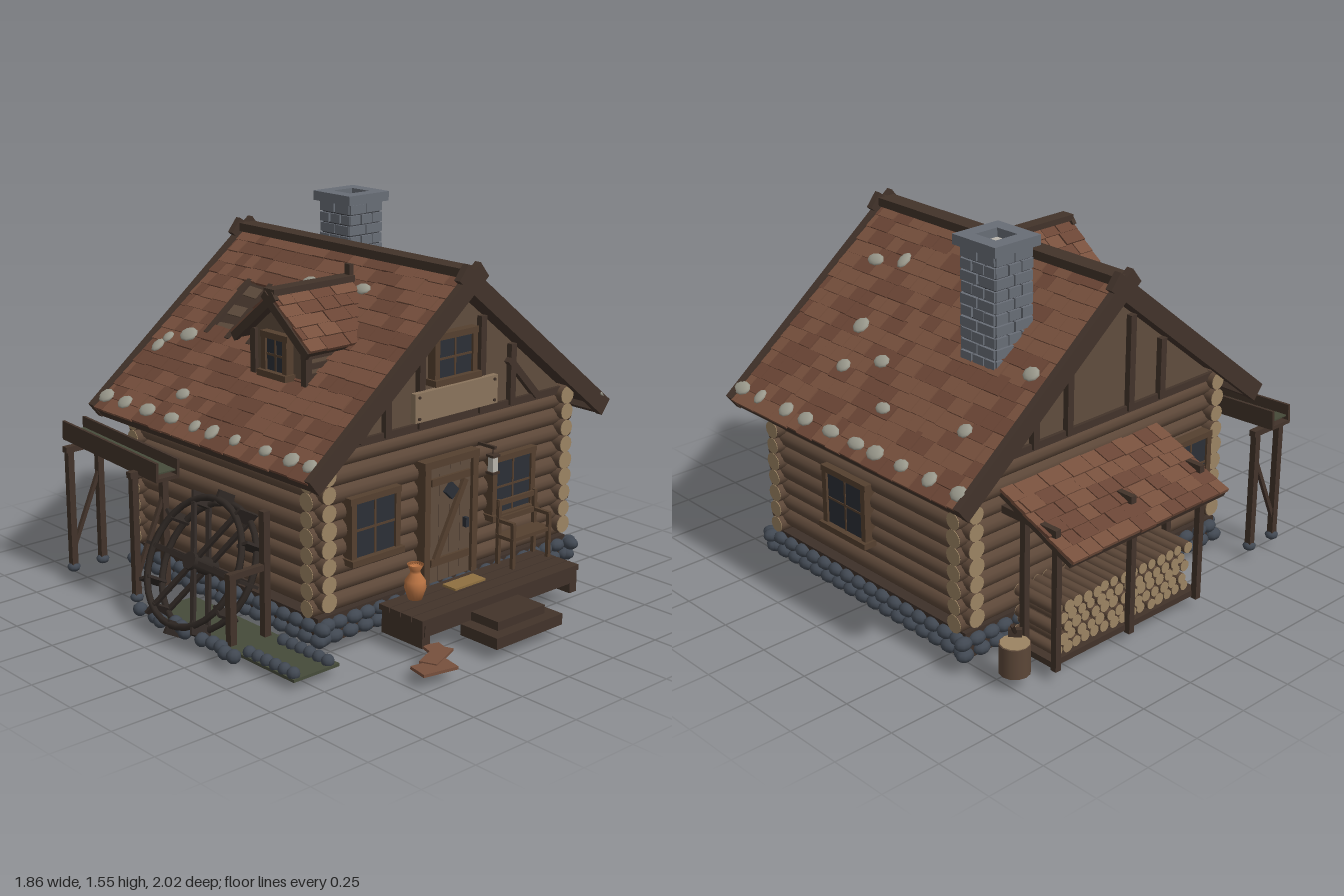
import * as THREE from 'three';
import { mergeGeometries } from 'three/addons/utils/BufferGeometryUtils.js';

const C = { log: 0x5c4738, end: 0x9c8463, dark: 0x42332a, trim: 0x55402f, gable: 0x5f4c3d, pane: 0x2b2f36,
  stone: 0x414852, brick: 0x686d76, mortar: 0x3a3d42, tileA: 0x77503d, tileB: 0x6a4535, lichen: 0x9c9b8e,
  clay: 0xb87242, water: 0x464b3a, gold: 0x8f7040, sign: 0x8a745c, pale: 0xb8b4ac };

let seed = 7;
const rnd = (a = 0, b = 1) => {
  seed = (seed * 16807) % 2147483647;
  return a + (b - a) * seed / 2147483647;
};
const V = (x, y, z) => new THREE.Vector3(x, y, z);

function put(g, x, y, z, rx = 0, ry = 0, rz = 0) {
  const q = new THREE.Quaternion().setFromEuler(new THREE.Euler(rx, ry, rz));
  return g.applyMatrix4(new THREE.Matrix4().compose(V(x, y, z), q, V(1, 1, 1)));
}
const box = (w, h, d, x, y, z, rx, ry, rz) => put(new THREE.BoxGeometry(w, h, d), x, y, z, rx, ry, rz);
const cyl = (r, h, x, y, z, rx, ry, rz, n = 12) => put(new THREE.CylinderGeometry(r, r, h, n), x, y, z, rx, ry, rz);
const blob = (a, b, c, x, y, z, ry = 0) => put(new THREE.SphereGeometry(1, 9, 6).scale(a, b, c), x, y, z, 0, ry);
// Square bar between two points
function bar(p, q, w, d = w) {
  const dir = V(...q).sub(V(...p)), g = new THREE.BoxGeometry(w, dir.length(), d);
  g.applyQuaternion(new THREE.Quaternion().setFromUnitVectors(V(0, 1, 0), dir.clone().normalize()));
  return g.translate((p[0] + q[0]) / 2, (p[1] + q[1]) / 2, (p[2] + q[2]) / 2);
}

function add(parent, name, color, geos) {
  const g = mergeGeometries(geos.map(g => (g.index ? g.toNonIndexed() : g)));
  const m = new THREE.Mesh(g, new THREE.MeshStandardMaterial({ color }));
  m.name = name;
  parent.add(m);
}

// Logs with pale sawn ends, along x or z
function logs(parent, name, list) {
  const bark = [], ends = [];
  for (const [axis, len, r, x, y, z] of list) {
    const rot = axis === 'x' ? [0, 0, Math.PI / 2] : [Math.PI / 2, 0, 0];
    bark.push(cyl(r, len, x, y, z, ...rot));
    ends.push(cyl(r * 0.97, len + 0.006, x, y, z, ...rot));
  }
  add(parent, name, C.log, bark);
  add(parent, name + 'Ends', C.end, ends);
}

// Sloping panel of shingles: u runs down from the ridge, n is the outward normal
function roofPanel(parent, name, L, W, rows, pose, skip = () => false) {
  const place = g => put(g.rotateZ(-pose.a), pose.x, pose.y, pose.z, 0, pose.ry);
  const sets = [[], []], pitch = L / rows;
  for (let i = 0; i < rows; i++) {
    for (let z = -W / 2; z < W / 2 - 0.01;) {
      const w = Math.min(rnd(0.055, 0.12), W / 2 - z), u = (i + 0.5) * pitch, zc = z + w / 2;
      if (!skip(u, zc)) sets[rnd() < 0.6 ? 0 : 1].push(place(
        box(pitch * 1.2 + rnd(-0.006, 0.006), 0.013, w - 0.004, u, rnd(-0.002, 0.003), zc, 0, 0, 0.07)));
      z += w;
    }
  }
  add(parent, name + 'Shingles', C.tileA, sets[0]);
  add(parent, name + 'ShinglesDark', C.tileB, sets[1]);
  add(parent, name + 'Deck', C.dark, [place(box(L, 0.02, W - 0.01, L / 2, -0.02, 0))]);
  return place;
}

// Framed window facing +z
function windowUnit(parent, name, w, h, x, y, z, ry = 0) {
  const g = new THREE.Group(), t = 0.025;
  g.name = name;
  add(g, 'pane', C.pane, [box(w - t, h - t, 0.03, 0, 0, 0)]);
  const f = [box(w + 0.02, t, 0.06, 0, -h / 2, 0.01), box(w + 0.01, t, 0.05, 0, h / 2, 0), box(0.009, h, 0.036, 0, 0, 0), box(w, 0.009, 0.036, 0, 0, 0)];
  for (const s of [-1, 1]) f.push(box(t, h, 0.05, s * (w - t) / 2, 0, 0));
  add(g, 'frame', C.trim, f);
  g.position.set(x, y, z);
  g.rotation.y = ry;
  parent.add(g);
}

export function createModel() {
  const M = new THREE.Group();
  M.name = 'logCabin';
  const X = 0.108, Z = -0.056;

  // Stone foundation
  add(M, 'foundation', 0x3d3029, [box(1.38, 0.11, 1.16, X, 0.1, Z)]);
  const st = [];
  for (const y of [0.072, 0.122]) {
    for (let x = -0.57; x < 0.82; x += 0.072) for (const z of [Z - 0.585, Z + 0.585])
      st.push(blob(0.038, 0.027, 0.03, x + rnd(-0.01, 0.01) + (y > 0.1 ? 0.02 : 0), y, z));
    for (let z = -0.62; z < 0.54; z += 0.072) for (const x of [X - 0.695, X + 0.695])
      st.push(blob(0.03, 0.027, 0.038, x, y, z + (y > 0.1 ? 0.02 : 0)));
  }
  add(M, 'foundationStones', C.stone, st);

  // Interlocked log walls
  const wall = [];
  for (let i = 0; i < 9; i++) for (const s of [-1, 1]) {
    wall.push(['x', 1.42, rnd(0.034, 0.039), X, 0.19 + i * 0.07, Z + s * 0.541]);
    wall.push(['z', 1.2, rnd(0.034, 0.039), X + s * 0.652, 0.215 + i * 0.07, Z]);
  }
  logs(M, 'wallLogs', wall);

  // Gables with timber framing
  const tri = new THREE.Shape([new THREE.Vector2(-0.68, 0.78), new THREE.Vector2(0.68, 0.78), new THREE.Vector2(0, 1.32)]);
  const timber = [];
  for (const s of [-1, 1]) {
    const z = Z + s * 0.541, zt = z + s * 0.03;
    add(M, s > 0 ? 'frontGable' : 'backGable', C.gable,
      [put(new THREE.ExtrudeGeometry(tri, { depth: 0.04, bevelEnabled: false }), X, 0, z - 0.02)]);
    timber.push(box(1.3, 0.03, 0.05, X, 0.795, z + s * 0.01));
    for (const k of [-1, 1]) {
      timber.push(bar([X + k * 0.34, 0.79, zt], [X + k * 0.34, 1.04, zt], 0.03));
      timber.push(bar([X + k * 0.165, 0.79, zt], [X + k * 0.165, 1.18, zt], 0.03));
      if (s > 0) timber.push(bar([X + k * 0.49, 0.8, zt], [X + k * 0.32, 0.98, zt], 0.03));
    }
  }
  add(M, 'gableTimbers', C.dark, timber);

  // Main roof, with a broken patch on the left slope
  const a = 0.673, RZ = -0.06, dark = [], lichen = [];
  for (const s of [1, -1]) {
    const hole = (u, z) => s < 0 && u > 0.27 && u < 0.54 && z > 0.09 && z < 0.42;
    const place = roofPanel(M, s > 0 ? 'rightRoof' : 'leftRoof', 1.03, 1.34, 16,
      { a, ry: s > 0 ? 0 : Math.PI, x: X, y: 1.375, z: RZ }, hole);
    for (const z of [-0.675, 0.675]) dark.push(place(box(1.09, 0.075, 0.03, 0.49, -0.02, z)));
    dark.push(place(box(0.025, 0.05, 1.34, 1.02, -0.03, 0)));
    const spots = s > 0 ? [[0.47, -0.64], [0.7, -0.54], [0.74, -0.13], [0.67, 0.19], [0.53, 0.25], [0.28, 0.28], [0.31, 0.42], [0.61, 0.03]]
      : [[-0.38, -0.63], [-0.35, -0.53], [-0.56, -0.3], [-0.05, -0.12], [-0.03, 0.17], [-0.42, -0.65]];
    for (let z = -0.68; z < 0.6; z += 0.14) spots.push([s > 0 ? 0.87 : -0.65, z + rnd(-0.03, 0.03)]);
    for (const [x, z] of spots)
      lichen.push(place(blob(rnd(0.025, 0.04), 0.012, rnd(0.025, 0.05), Math.abs(x - X) / Math.cos(a), 0.01, s * (z - RZ))));
    if (s < 0) {
      for (const z of [0.12, 0.255, 0.39]) dark.push(place(box(0.3, 0.02, 0.025, 0.405, 0.002, z)));
      add(M, 'brokenRoofBattens', C.gable, [0.31, 0.41, 0.5].map((u, i) => place(box(0.05, 0.008, 0.27, u, -0.007, 0.255, 0, 0.06 * (i - 1)))));
    }
  }
  dark.push(box(0.08, 0.035, 1.36, X, 1.385, RZ));
  add(M, 'bargeboards', C.dark, dark);
  add(M, 'roofLichen', C.lichen, lichen);

  // Dormer facing left
  const D = new THREE.Group();
  D.name = 'dormer';
  M.add(D);
  const dz = 0.105, pent = new THREE.Shape([[-0.155, 0.9], [0.155, 0.9], [0.155, 1.15], [0, 1.28], [-0.155, 1.15]].map(p => new THREE.Vector2(...p)));
  add(D, 'dormerBody', C.gable, [put(new THREE.ExtrudeGeometry(pent, { depth: 0.4, bevelEnabled: false }), -0.4, 0, dz, 0, Math.PI / 2)]);
  const dd = [box(0.41, 0.025, 0.06, -0.25, 1.31, dz), box(0.02, 0.14, 0.03, -0.05, 1.295, dz)];
  for (const s of [-1, 1]) {
    const place = roofPanel(D, 'dormerRoof', 0.29, 0.41, 5, { a: 0.675, ry: -s * Math.PI / 2, x: -0.25, y: 1.3, z: dz });
    dd.push(place(box(0.32, 0.035, 0.02, 0.135, -0.02, s * 0.2)));
    for (let y = 0.96; y < 1.15; y += 0.04) dd.push(box(0.36, 0.022, 0.012, -0.22, y, dz + s * 0.158));
    dd.push(box(0.03, 0.24, 0.03, -0.4, 1.02, dz + s * 0.15));
  }
  add(D, 'dormerTimbers', C.dark, dd);
  windowUnit(D, 'dormerWindow', 0.15, 0.15, -0.41, 1.06, dz, -Math.PI / 2);

  // Brick chimney
  const cx = 0.411, cz = -0.39, bricks = [];
  for (let i = 0; i < 11; i++) for (let k = 0; k < 4; k++) {
    const ang = k * Math.PI / 2, cuts = i % 2 ? [-0.093, -0.03, 0.035, 0.093] : [-0.093, 0, 0.093];
    for (let j = 0; j + 1 < cuts.length; j++) {
      const g = box(cuts[j + 1] - cuts[j] - 0.007, 0.038, 0.02, (cuts[j] + cuts[j + 1]) / 2, 1.035 + i * 0.0445, 0.083 + rnd(0, 0.006));
      bricks.push(put(g, cx, 0, cz, 0, ang));
    }
  }
  for (let k = 0; k < 4; k++) bricks.push(put(box(0.225, 0.04, 0.06, 0, 1.523, 0.083), cx, 0, cz, 0, k * Math.PI / 2));
  add(M, 'chimneyBricks', C.brick, bricks);
  add(M, 'chimneyCore', C.mortar, [box(0.17, 0.5, 0.17, cx, 1.25, cz)]);
  add(M, 'chimneyFlue', C.pale, [box(0.11, 0.01, 0.11, cx, 1.503, cz)]);

  // Windows
  for (const x of [-0.31, 0.447]) windowUnit(M, 'frontWindow', 0.25, 0.24, x, 0.465, 0.525);
  windowUnit(M, 'gableWindow', 0.23, 0.175, X, 1.05, 0.52);
  windowUnit(M, 'rightWindow', 0.26, 0.24, 0.8, 0.44, 0.03, Math.PI / 2);
  windowUnit(M, 'backWindow', 0.23, 0.24, -0.4, 0.44, -0.638, Math.PI);

  // Door and blank sign board
  const door = [0, 1, 2, 3].map(i => box(0.056, 0.47, 0.03, -0.005 + i * 0.058, 0.39, 0.53));
  add(M, 'doorPlanks', C.gable, door);
  add(M, 'doorFrame', C.trim, [box(0.03, 0.5, 0.06, -0.05, 0.405, 0.53), box(0.03, 0.5, 0.06, 0.212, 0.405, 0.53), box(0.3, 0.03, 0.065, 0.08, 0.645, 0.53),
    box(0.21, 0.03, 0.02, 0.08, 0.57, 0.547), box(0.21, 0.03, 0.02, 0.08, 0.24, 0.547), bar([0, 0.25, 0.548], [0.16, 0.55, 0.548], 0.025)]);
  add(M, 'doorFittings', C.pane, [box(0.05, 0.05, 0.02, 0.08, 0.52, 0.555, 0, 0, Math.PI / 4), box(0.015, 0.04, 0.02, 0.165, 0.37, 0.555)]);
  add(M, 'signBoard', C.sign, [box(0.45, 0.115, 0.025, X, 0.883, 0.54)]);
  add(M, 'signBolts', C.dark, [-1, 1].flatMap(i => [-1, 1].map(j => cyl(0.006, 0.01, X + i * 0.205, 0.883 + j * 0.042, 0.554, Math.PI / 2))));

  // Porch and steps
  const porch = [0, 1, 2, 3].map(i => box(0.88, 0.022, 0.056, 0.135, 0.143, 0.587 + i * 0.06));
  porch.push(box(0.85, 0.05, 0.03, 0.135, 0.11, 0.78), box(0.26, 0.035, 0.14, 0.08, 0.107, 0.87), box(0.365, 0.045, 0.19, 0.08, 0.065, 0.89));
  for (const x of [-0.28, 0.55]) porch.push(box(0.04, 0.1, 0.22, x, 0.09, 0.68));
  add(M, 'porch', C.dark, porch);
  add(M, 'doorMat', C.gold, [box(0.17, 0.01, 0.07, 0.085, 0.158, 0.63)]);
  const pot = [[0, 0], [0.028, 0], [0.043, 0.045], [0.04, 0.075], [0.02, 0.105], [0.02, 0.115], [0.033, 0.14], [0.02, 0.13], [0, 0.125]];
  add(M, 'clayPot', C.clay, [put(new THREE.LatheGeometry(pot.map(p => new THREE.Vector2(...p)), 16), -0.168, 0.155, 0.615)]);
  const bench = [box(0.23, 0.015, 0.09, 0.445, 0.275, 0.61)];
  for (const x of [0.34, 0.55]) bench.push(box(0.016, 0.27, 0.016, x, 0.29, 0.57), box(0.016, 0.13, 0.016, x, 0.215, 0.65), box(0.016, 0.014, 0.09, x, 0.34, 0.61), box(0.016, 0.07, 0.016, x, 0.305, 0.65));
  for (const y of [0.34, 0.41]) bench.push(box(0.23, 0.022, 0.012, 0.445, y, 0.57));
  add(M, 'bench', C.trim, bench);
  add(M, 'lanternFrame', C.dark, [box(0.012, 0.012, 0.1, 0.268, 0.665, 0.56), box(0.004, 0.03, 0.004, 0.268, 0.65, 0.597),
    box(0.04, 0.01, 0.04, 0.268, 0.632, 0.597), box(0.04, 0.01, 0.04, 0.268, 0.562, 0.597)]);
  add(M, 'lanternGlass', C.pale, [box(0.028, 0.06, 0.028, 0.268, 0.597, 0.597)]);
  add(M, 'fallenShingles', C.tileA, [box(0.15, 0.012, 0.09, -0.39, 0.045, 0.945, 0, -0.2), box(0.16, 0.012, 0.07, -0.32, 0.05, 0.885, 0, 0.4), box(0.07, 0.012, 0.08, -0.27, 0.045, 0.83, 0, -0.3)]);

  // Lean-to with stacked firewood
  roofPanel(M, 'leanTo', 0.39, 0.84, 6, { a: 0.4, ry: Math.PI / 2, x: 0.21, y: 0.685, z: -0.645 });
  const lean = [box(0.8, 0.035, 0.03, 0.21, 0.535, -0.905), box(0.8, 0.03, 0.03, 0.21, 0.6, -0.74), box(0.8, 0.025, 0.25, 0.21, 0.06, -0.77)];
  for (const x of [-0.17, 0.21, 0.6]) lean.push(box(0.026, 0.5, 0.026, x, 0.29, -0.905), box(0.026, 0.03, 0.28, x, 0.6, -0.77));
  for (const x of [-0.17, 0.6]) lean.push(box(0.026, 0.55, 0.026, x, 0.33, -0.74));
  add(M, 'leanToFrame', C.dark, lean);
  const wood = [];
  for (let j = 0; j < 5; j++) for (let i = 0; i < 15 - (j % 2); i++)
    wood.push(['z', 0.19 + rnd(0, 0.03), rnd(0.02, 0.025), -0.135 + i * 0.05 + (j % 2) * 0.025, 0.095 + j * 0.043, -0.775]);
  logs(M, 'firewood', wood);

  // Chopping stump and axe
  add(M, 'stump', C.log, [cyl(0.06, 0.12, 0.725, 0.11, -0.82)]);
  add(M, 'stumpTop', C.end, [cyl(0.056, 0.006, 0.725, 0.17, -0.82)]);
  add(M, 'axe', C.dark, [bar([0.69, 0.18, -0.785], [0.8, 0.3, -0.885], 0.012), box(0.02, 0.05, 0.05, 0.695, 0.18, -0.79, 0, 0.7)]);

  // Raised flume on trestles
  const fl = [box(0.11, 0.015, 0.65, 0, -0.035, 0), box(0.012, 0.075, 0.65, -0.05, 0, 0), box(0.012, 0.075, 0.65, 0.05, 0, 0)].map(g => put(g, -0.725, 0.61, -0.52, 0.05));
  for (const z of [-0.78, -0.33]) {
    fl.push(box(0.19, 0.025, 0.03, -0.722, 0.56, z), bar([-0.795, 0.12, z], [-0.65, 0.45, z], 0.016));
    for (const x of [-0.795, -0.65]) fl.push(box(0.028, 0.52, 0.028, x, 0.3, z));
  }
  add(M, 'flume', C.dark, fl);
  add(M, 'flumeWater', C.water, [box(0.09, 0.006, 0.63, -0.725, 0.6, -0.52, 0.05)]);

  // Tilted water wheel
  const W = new THREE.Group(), wheel = [];
  W.name = 'waterWheel';
  for (const x of [-0.04, 0.04]) wheel.push(new THREE.TorusGeometry(0.255, 0.014, 6, 32).rotateY(Math.PI / 2).translate(x, 0, 0));
  for (let i = 0; i < 12; i++) {
    const t = i * Math.PI / 6;
    wheel.push(put(box(0.1, 0.055, 0.012, 0, 0.265, 0), 0, 0, 0, t));
    if (i % 2) for (const x of [-0.04, 0.04]) wheel.push(put(box(0.014, 0.25, 0.02, x, 0.125, 0), 0, 0, 0, t));
  }
  wheel.push(cyl(0.035, 0.13, 0, 0, 0, 0, 0, Math.PI / 2));
  add(W, 'wheelTimbers', 0x2f2824, wheel);
  W.position.set(-0.745, 0.275, 0.03);
  W.rotation.z = -0.5;
  M.add(W);
  add(M, 'wheelSupport', C.dark, [box(0.03, 0.28, 0.03, -0.815, 0.19, 0.3), box(0.03, 0.5, 0.03, -0.65, 0.29, 0.3), box(0.19, 0.025, 0.025, -0.735, 0.32, 0.3)]);

  // Stream with stone banks
  add(M, 'stream', C.water, [box(0.22, 0.012, 0.87, -0.72, 0.033, 0.24)]);
  const bank = [];
  for (let z = -0.21; z < 0.4; z += 0.05) bank.push(blob(0.03, 0.028, 0.028, -0.855 + rnd(-0.025, 0.02), 0.05, z));
  for (let z = 0.4; z < 0.68; z += 0.05) for (const x of [-0.81, -0.645]) bank.push(blob(0.026, 0.026, 0.026, x, 0.05, z));
  for (const z of [-0.78, -0.33]) for (const x of [-0.795, -0.65]) bank.push(blob(0.028, 0.02, 0.028, x, 0.045, z));
  add(M, 'bankStones', C.stone, bank);
  return M;
}
